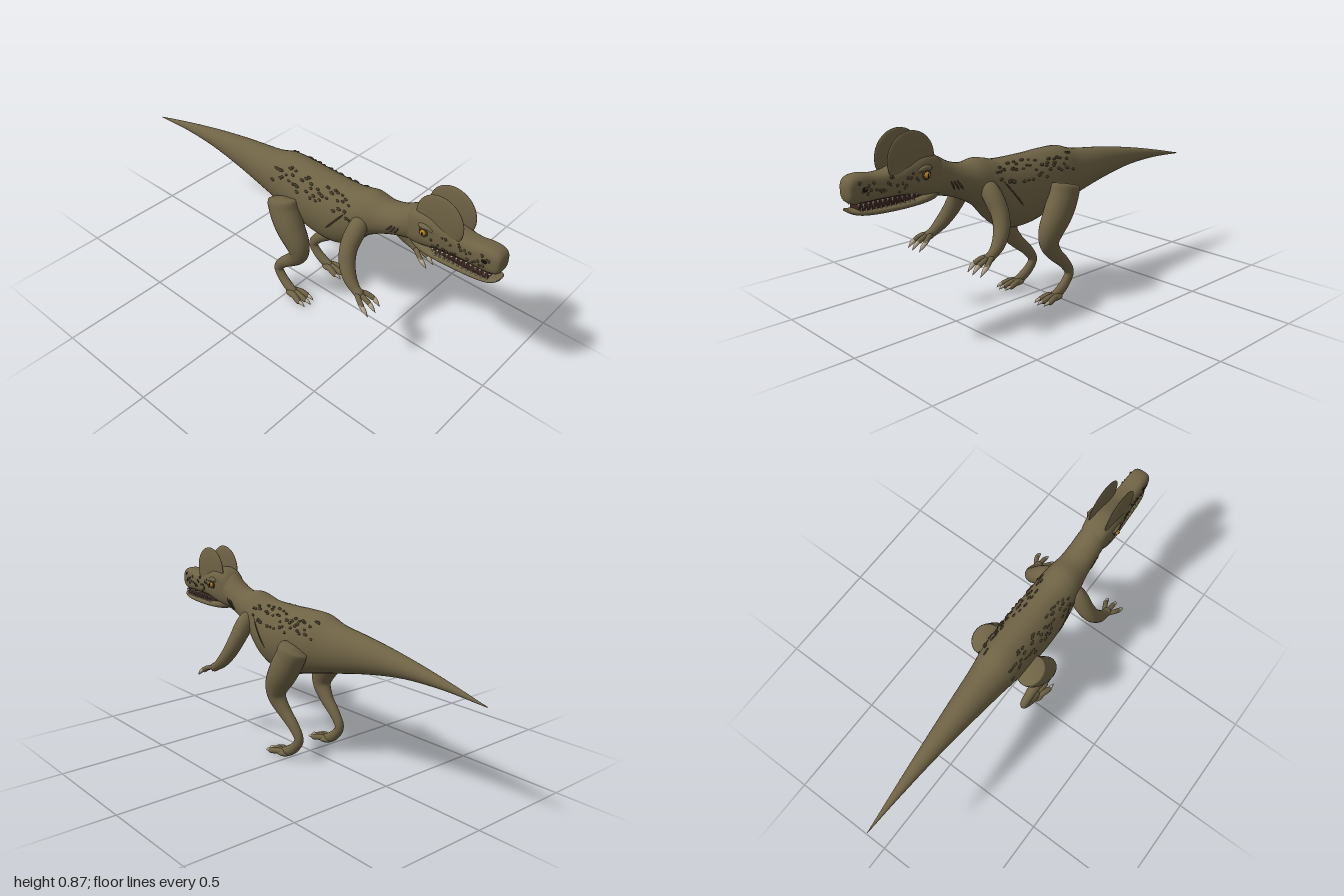
import * as THREE from 'three';
import { mergeVertices, mergeGeometries } from 'three/addons/utils/BufferGeometryUtils.js';

const paint = (name, color) => {
  const m = new THREE.MeshStandardMaterial({ color });
  m.name = name;
  return m;
};
const V = (x, y, z) => new THREE.Vector3(x, y, z);
const spline = (points) => new THREE.CatmullRomCurve3(points, false, 'catmullrom', 0.5);

// Weld the seam of a closed form and make it smooth
function smooth(geo) {
  geo.deleteAttribute('uv');
  geo.deleteAttribute('normal');
  const g = mergeVertices(geo, 1e-5);
  g.computeVertexNormals();
  return g;
}

// Form along x from sections [x, top, bottom, halfWidth]; n sets how square a section is
function makeForm(sections, n, rings, sides = 32) {
  const line = spline(sections.map(([x, t, b]) => V(x, t, b)));
  const width = spline(sections.map((s) => V(s[3], 0, 0)));
  const section = (u) => {
    const p = line.getPoint(u);
    return { x: p.x, cy: (p.y + p.z) / 2, ry: Math.max((p.y - p.z) / 2, 0), hw: Math.max(width.getPoint(u).x, 0) };
  };
  const bend = (v) => Math.sign(v) * Math.abs(v) ** (2 / n);
  const pos = [], index = [];
  for (let i = 0; i <= rings; i++) {
    const s = section(i / rings);
    for (let j = 0; j < sides; j++) {
      const a = (j / sides) * Math.PI * 2;
      pos.push(s.x, s.cy + s.ry * bend(Math.sin(a)), s.hw * bend(Math.cos(a)));
      if (i === rings) continue;
      const k = (j + 1) % sides, p = i * sides, q = p + sides;
      index.push(p + j, q + j, q + k, p + j, q + k, p + k);
    }
  }
  const geometry = new THREE.BufferGeometry();
  geometry.setAttribute('position', new THREE.Float32BufferAttribute(pos, 3));
  geometry.setIndex(index);
  geometry.computeVertexNormals();
  // Half width of the skin at a given x and y
  const skin = (x, y) => {
    let lo = 0, hi = 1;
    for (let i = 0; i < 24; i++) {
      const mid = (lo + hi) / 2;
      if (section(mid).x < x) lo = mid; else hi = mid;
    }
    const s = section(lo), v = Math.min(1, Math.abs(y - s.cy) / s.ry);
    return s.hw * (1 - v ** n) ** (1 / n);
  };
  return { geometry, skin };
}

// Tapered limb through points [x, y, z, radius]; flat scales its depth in z
function limb(points, { s = 1, rings = 24, sides = 14, flat = 1 } = {}) {
  const path = spline(points.map(([x, y, z]) => V(x, y, z * s)));
  const radii = spline(points.map((p) => V(p[3], 0, 0)));
  const geo = new THREE.TubeGeometry(path, rings, 1, sides);
  const pos = geo.attributes.position, v = new THREE.Vector3();
  for (let i = 0; i <= rings; i++) {
    const c = path.getPointAt(i / rings);
    const r = Math.max(radii.getPoint(path.getUtoTmapping(i / rings)).x, 0.0002);
    for (let j = 0; j <= sides; j++) {
      const k = i * (sides + 1) + j;
      v.fromBufferAttribute(pos, k).sub(c).multiplyScalar(r);
      pos.setXYZ(k, c.x + v.x, c.y + v.y, c.z + v.z * flat);
    }
  }
  return smooth(geo);
}

const ball = (x, y, z, rx, ry, rz, seg = 20) =>
  new THREE.SphereGeometry(1, seg, Math.ceil(seg * 0.6)).scale(rx, ry, rz).translate(x, y, z);

export function createModel() {
  const model = new THREE.Group();
  const hide = paint('olive hide', 0x6f6345);
  const dark = paint('dark markings', 0x4a402c);
  const ivory = paint('ivory', 0xbcae98);
  const amber = paint('amber', 0xb57c22);
  const black = paint('black', 0x15120e);
  const flesh = paint('mouth flesh', 0x40251f);
  const add = (name, geo, mat) => {
    const mesh = new THREE.Mesh(Array.isArray(geo) ? mergeGeometries(geo) : geo, mat);
    mesh.name = name;
    model.add(mesh);
  };
  let seed = 7;
  const rand = () => (seed = (seed * 16807) % 2147483647) / 2147483647;

  // Tail, trunk and neck
  const body = makeForm([
    [-1, 0.502, 0.498, 0.001], [-0.8, 0.55, 0.51, 0.02], [-0.6, 0.592, 0.505, 0.04],
    [-0.4, 0.625, 0.475, 0.062], [-0.2, 0.65, 0.43, 0.085], [-0.1, 0.678, 0.405, 0.1],
    [0, 0.68, 0.38, 0.108], [0.1, 0.676, 0.357, 0.112], [0.2, 0.675, 0.355, 0.11],
    [0.28, 0.678, 0.385, 0.105], [0.33, 0.69, 0.43, 0.098], [0.38, 0.699, 0.485, 0.088],
    [0.45, 0.69, 0.53, 0.074], [0.52, 0.708, 0.56, 0.067], [0.6, 0.75, 0.58, 0.062], [0.67, 0.75, 0.6, 0.04],
  ], 2, 90);
  add('body', body.geometry, hide);

  // Skull and lower jaw
  const skull = makeForm([
    [0.55, 0.69, 0.62, 0.03], [0.58, 0.735, 0.59, 0.055], [0.62, 0.765, 0.588, 0.066], [0.68, 0.772, 0.6, 0.071],
    [0.74, 0.752, 0.614, 0.065], [0.8, 0.728, 0.618, 0.056], [0.87, 0.722, 0.618, 0.049],
    [0.93, 0.731, 0.616, 0.047], [0.97, 0.728, 0.619, 0.044], [0.99, 0.715, 0.63, 0.037],
    [0.998, 0.695, 0.65, 0.022], [1, 0.673, 0.671, 0.001],
  ], 3, 60);
  add('skull', skull.geometry, hide);
  const jaw = makeForm([
    [0.58, 0.62, 0.585, 0.03], [0.63, 0.615, 0.572, 0.056], [0.7, 0.6, 0.566, 0.061], [0.8, 0.593, 0.563, 0.056],
    [0.9, 0.594, 0.567, 0.051], [0.96, 0.598, 0.576, 0.043], [0.99, 0.603, 0.59, 0.026], [0.997, 0.602, 0.6, 0.001],
  ], 2.6, 40);
  add('lowerJaw', jaw.geometry, hide);
  add('mouthInside', new THREE.BoxGeometry(0.29, 0.05, 0.07).translate(0.81, 0.605, 0), flesh);

  const teeth = [], spots = [], bumps = [], folds = [], claws = [];
  for (const s of [1, -1]) {
    const side = s > 0 ? 'left' : 'right';

    // Twin disc crests
    add(side + 'Crest', ball(0.725, 0.757, 0.043 * s, 0.109, 0.11, 0.013, 40), hide);

    // Eye, socket, brow and nostril
    const ez = skull.skin(0.675, 0.69) * s;
    add(side + 'Eye', ball(0.675, 0.69, ez + 0.003 * s, 0.014, 0.013, 0.012), amber);
    add(side + 'Pupil', ball(0.677, 0.69, ez + 0.0135 * s, 0.003, 0.009, 0.003), black);
    add(side + 'EyeSocket', new THREE.TorusGeometry(0.016, 0.004, 8, 24).translate(0.675, 0.69, ez), dark);
    add(side + 'Brow', limb([[0.64, 0.71, 0.062, 0.001], [0.66, 0.715, 0.067, 0.011],
      [0.69, 0.715, 0.066, 0.011], [0.73, 0.7, 0.062, 0.001]], { s }), hide);
    add(side + 'Nostril', ball(0.935, 0.675, skull.skin(0.935, 0.675) * s, 0.013, 0.009, 0.003), black);

    // Teeth in both jaws
    for (let i = 0; i < 13; i++) {
      const x = 0.715 + i * 0.0205, len = 0.017 + 0.007 * (i % 2);
      teeth.push(new THREE.ConeGeometry(0.0055, len, 8).rotateX(Math.PI)
        .translate(x, 0.622 - len / 2, (skull.skin(x, 0.64) - 0.006) * s));
      if (i < 12) teeth.push(new THREE.ConeGeometry(0.0045, 0.016, 8)
        .translate(x + 0.01, 0.6, (jaw.skin(x, 0.58) - 0.01) * s));
    }

    // Scattered scales on flank and cheek
    for (let i = 0; i < 46; i++) {
      const x = -0.12 + 0.45 * ((i * 0.618) % 1), y = 0.575 + 0.085 * rand(), r = 0.006 + 0.004 * rand();
      spots.push(ball(x, y, body.skin(x, y) * s, r * 1.3, r * 0.8, 0.005, 8));
    }
    for (let i = 0; i < 26; i++) {
      const x = 0.71 + 0.25 * ((i * 0.618) % 1), y = 0.64 + 0.065 * rand(), r = 0.004 + 0.003 * rand();
      bumps.push(ball(x, y, skull.skin(x, y) * s, r, r, 0.004, 8));
    }

    // Skin folds on neck and ribs
    for (const [x0, y0, x1, y1] of [[0.49, 0.595, 0.525, 0.64], [0.51, 0.597, 0.54, 0.642],
      [0.53, 0.6, 0.555, 0.643], [0.2, 0.475, 0.3, 0.6]]) {
      const pts = [0, 1, 2, 3, 4].map((i) => {
        const x = x0 + ((x1 - x0) * i) / 4, y = y0 + ((y1 - y0) * i) / 4;
        return [x, y, body.skin(x, y), i % 4 ? 0.0035 : 0.0005];
      });
      folds.push(limb(pts, { s, rings: 12, sides: 8 }));
    }

    // Hind leg with three toes
    add(side + 'Leg', limb([[-0.036, 0.536, 0.12, 0], [-0.034, 0.533, 0.122, 0.066], [-0.015, 0.48, 0.13, 0.073],
      [0.025, 0.41, 0.137, 0.071], [0.068, 0.34, 0.138, 0.06], [0.074, 0.28, 0.135, 0.046],
      [0.03, 0.22, 0.128, 0.034], [-0.03, 0.165, 0.124, 0.027], [-0.066, 0.112, 0.122, 0.023],
      [-0.045, 0.07, 0.123, 0.023], [0, 0.035, 0.126, 0.024], [0.04, 0.02, 0.128, 0.018], [0.06, 0.016, 0.128, 0]],
    { s, rings: 56, sides: 20, flat: 0.85 }), hide);
    add(side + 'FootPad', ball(0.035, 0.018, 0.128 * s, 0.042, 0.017, 0.033), hide);
    [-1, 0, 1].forEach((t) => {
      const reach = t ? 0 : 0.012, z = 0.129 + t * 0.03;
      add(side + 'Toe', limb([[0.02, 0.022, 0.128 + t * 0.01, 0.013], [0.06, 0.022, 0.128 + t * 0.022, 0.014],
        [0.095 + reach, 0.014, z, 0.012], [0.108 + reach, 0.012, z, 0]], { s }), hide);
      claws.push(limb([[0.098 + reach, 0.016, z, 0.008], [0.115 + reach, 0.014, z, 0.007],
        [0.133 + reach, 0.005, z, 0]], { s, rings: 10, sides: 10 }));
    });

    // Arm with three clawed fingers
    add(side + 'Arm', limb([[0.37, 0.605, 0.05, 0], [0.37, 0.59, 0.065, 0.032], [0.368, 0.55, 0.1, 0.042],
      [0.368, 0.49, 0.142, 0.039], [0.385, 0.43, 0.172, 0.035], [0.42, 0.378, 0.192, 0.029],
      [0.46, 0.345, 0.2, 0.021], [0.485, 0.333, 0.202, 0.02], [0.505, 0.326, 0.203, 0]],
    { s, rings: 44, sides: 18 }), hide);
    [-1, 0, 1].forEach((t) => {
      const reach = t ? 0 : 0.008, z = 0.203 + t * 0.037;
      add(side + 'Finger', limb([[0.475, 0.338, 0.202 + t * 0.01, 0.011], [0.5, 0.332, 0.203 + t * 0.026, 0.011],
        [0.527 + reach, 0.316, z, 0.01], [0.533 + reach, 0.312, z, 0]], { s }), hide);
      claws.push(limb([[0.518 + reach, 0.322, z, 0.009], [0.54 + reach, 0.306, z + t * 0.002, 0.009],
        [0.562 + reach, 0.284, z + t * 0.003, 0]], { s, rings: 12, sides: 10 }));
    });
  }
  add('teeth', teeth, ivory);
  add('claws', claws, ivory);
  add('flankScales', spots, dark);
  add('cheekScales', bumps, dark);
  add('skinFolds', folds, dark);
  return model;
}
